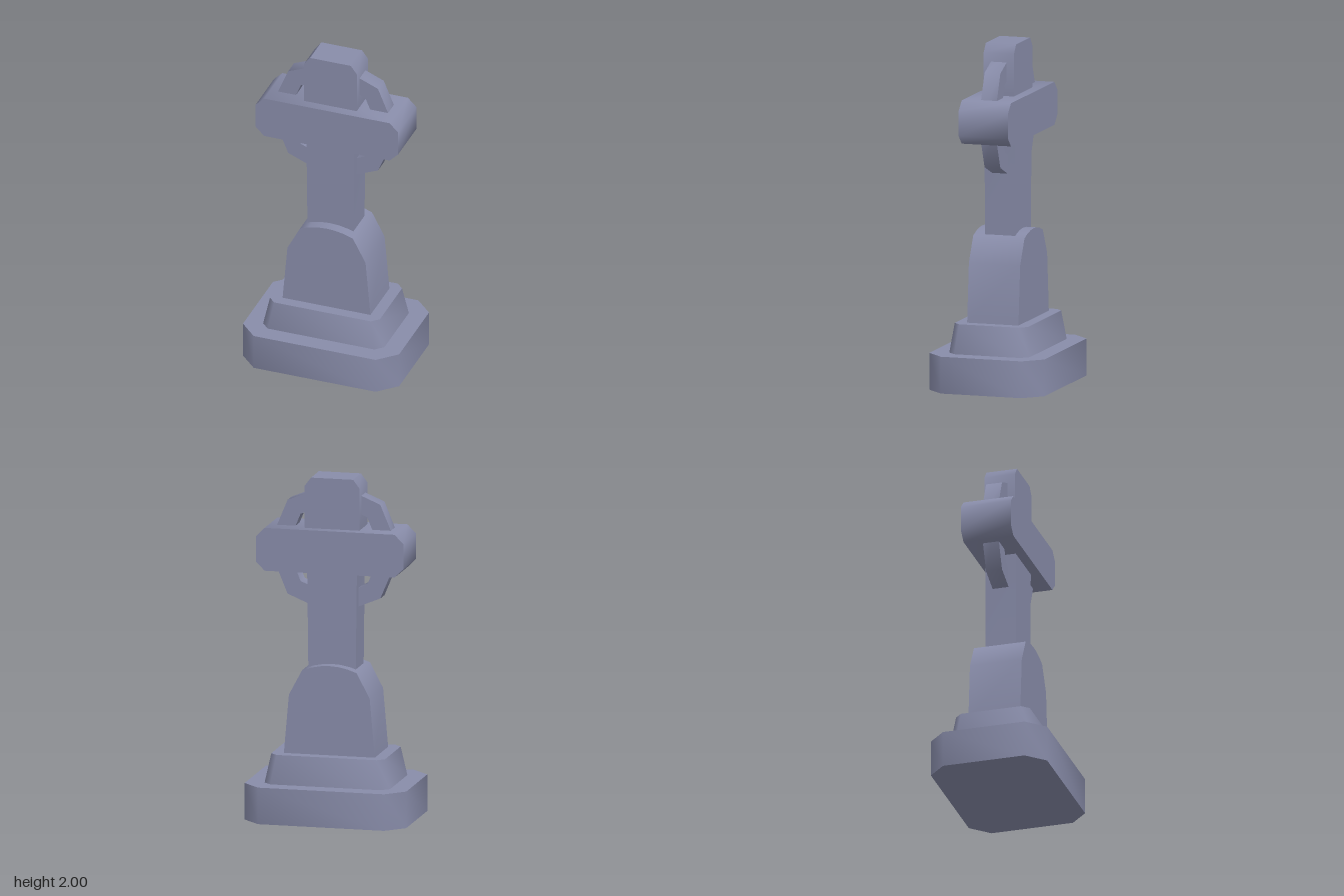
import * as THREE from 'three';
import { toCreasedNormals } from 'three/addons/utils/BufferGeometryUtils.js';

const stone = new THREE.MeshStandardMaterial({ color: 0x888ca9 });
stone.name = 'stone';

const polygon = (points) => new THREE.Shape(points.map(([x, y]) => new THREE.Vector2(x, y)));

// Rectangle of half sizes w, h with its corners cut by c
const chamferedRect = (w, h, c) => polygon([
  [w - c, -h], [w, -h + c], [w, h - c], [w - c, h],
  [-w + c, h], [-w, h - c], [-w, -h + c], [-w + c, -h],
]);

const octagon = (r) => Array.from({ length: 8 }, (_, i) => {
  const a = (i * Math.PI) / 4;
  return [r * Math.cos(a), r * Math.sin(a)];
});

// Smooth the chamfers, keep the square edges sharp
function addPart(group, name, geometry, y = 0) {
  const mesh = new THREE.Mesh(toCreasedNormals(geometry, 0.9), stone);
  mesh.name = name;
  mesh.position.y = y;
  group.add(mesh);
}

// Front-facing slab centred on z = 0
function slab(shape, halfDepth) {
  const g = new THREE.ExtrudeGeometry(shape, { depth: 2 * halfDepth, bevelEnabled: false, curveSegments: 6 });
  return g.translate(0, 0, -halfDepth);
}

// Upright block on a chamfered footprint, its top scaled by taper
function block(shape, height, taper = 1) {
  const g = new THREE.ExtrudeGeometry(shape, { depth: height, bevelEnabled: false });
  g.rotateX(-Math.PI / 2);
  const p = g.attributes.position;
  for (let i = 0; i < p.count; i++) {
    if (p.getY(i) > height / 2) {
      p.setX(i, p.getX(i) * taper);
      p.setZ(i, p.getZ(i) * taper);
    }
  }
  return g;
}

export function createModel() {
  const group = new THREE.Group();
  group.name = 'stoneCross';

  // Stepped foot
  addPart(group, 'base', block(chamferedRect(0.48, 0.35, 0.105), 0.215));
  addPart(group, 'plinth', block(chamferedRect(0.373, 0.245, 0.045), 0.17, 0.906), 0.215);

  // Shouldered pedestal with a gently arched top
  const pedestal = polygon([[-0.27, 0.385], [0.27, 0.385], [0.24, 0.73], [0.162, 0.877]]);
  pedestal.quadraticCurveTo(0, 0.943, -0.162, 0.877);
  pedestal.lineTo(-0.24, 0.73);
  addPart(group, 'pedestal', slab(pedestal, 0.156));

  // Shaft widening upwards to a chamfered head
  addPart(group, 'shaft', slab(polygon([
    [-0.14, 0.8], [0.14, 0.8], [0.147, 1.4], [0.163, 1.72], [0.163, 1.95], [0.125, 2],
    [-0.125, 2], [-0.163, 1.95], [-0.163, 1.72], [-0.147, 1.4],
  ]), 0.092));

  // Crossbar and the octagonal ring behind the crossing
  addPart(group, 'crossbar', slab(chamferedRect(0.438, 0.126, 0.052), 0.15), 1.576);
  const ring = polygon(octagon(0.39));
  ring.holes.push(polygon(octagon(0.28)));
  addPart(group, 'ring', slab(ring, 0.048), 1.576);

  return group;
}
